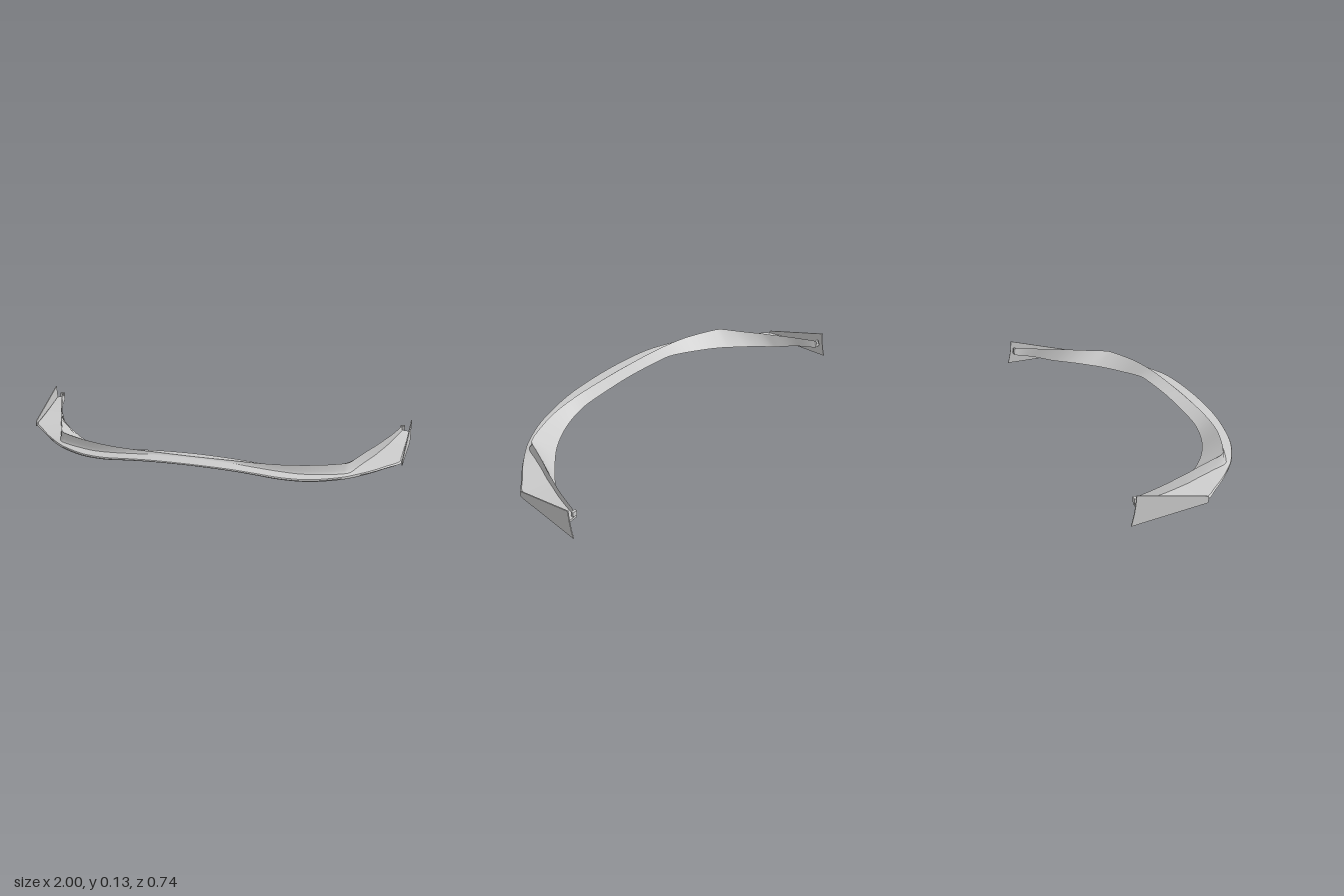
import * as THREE from 'three';

const material = new THREE.MeshStandardMaterial({ color: 0xcccccc, side: THREE.DoubleSide });

// Half-plan stations from the centre to the tip:
// outer x,z | crease x,z | inner x,z | underside y, crease y, ridge y
const STATIONS = [
  [0, 0.367, 0, 0.308, 0, 0.23, 0.078, 0.09, 0.097],
  [0.2, 0.363, 0.2, 0.304, 0.2, 0.228, 0.072, 0.086, 0.097],
  [0.32, 0.357, 0.3, 0.299, 0.33, 0.226, 0.062, 0.077, 0.096],
  [0.43, 0.343, 0.42, 0.287, 0.42, 0.213, 0.047, 0.064, 0.095],
  [0.55, 0.312, 0.52, 0.268, 0.5, 0.187, 0.036, 0.054, 0.095],
  [0.645, 0.268, 0.62, 0.238, 0.58, 0.145, 0.031, 0.05, 0.094],
  [0.72, 0.222, 0.7, 0.207, 0.65, 0.095, 0.029, 0.048, 0.094],
  [0.76, 0.19, 0.735, 0.186, 0.68, 0.068, 0.028, 0.048, 0.094],
  [0.84, 0.12, 0.768, 0.11, 0.75, 0, 0.027, 0.047, 0.095],
  [0.91, 0.047, 0.802, 0.03, 0.8, -0.055, 0.026, 0.047, 0.096],
  [0.967, -0.015, 0.835, -0.04, 0.845, -0.11, 0.026, 0.048, 0.097],
  [0.971, -0.06, 0.856, -0.09, 0.867, -0.147, 0.03, 0.05, 0.097],
  [0.981, -0.2, 0.904, -0.2, 0.913, -0.23, 0.045, 0.06, 0.099],
  [0.991, -0.34, 0.956, -0.34, 0.943, -0.34, 0.062, 0.076, 0.101],
];

// Closed cross-section: lip edge, lip top, upright wall to the ridge, inner slope
function section([ox, oz, cx, cz, ix, iz, low, crease, ridge], side) {
  const mix = (a, b, t) => a + (b - a) * t;
  const lipTop = mix(low, crease, 0.7);
  return [
    [mix(ox, cx, 0.1), low, mix(oz, cz, 0.1)],
    [ox, mix(low, lipTop, 0.55), oz],
    [mix(ox, cx, 0.06), lipTop, mix(oz, cz, 0.06)],
    [cx, crease, cz],
    [mix(cx, ix, 0.07), mix(crease, ridge, 0.3), mix(cz, iz, 0.07)],
    [mix(cx, ix, 0.12), ridge, mix(cz, iz, 0.12)],
    [ix, low + 0.003, iz],
  ].map(([x, y, z]) => new THREE.Vector3(x * side, y, z));
}

// Sweep the section along smooth rails; corners of the section stay sharp
function sweptLip(steps) {
  const sections = [
    ...STATIONS.slice(1).reverse().map((s) => section(s, -1)),
    ...STATIONS.map((s) => section(s, 1)),
  ];
  const rails = sections[0].map((_, k) =>
    new THREE.CatmullRomCurve3(sections.map((s) => s[k])).getPoints(steps));
  const positions = [];
  const index = [];
  // The wall strips share vertices so that its foot looks rounded
  const groups = [[0, 1], [1, 2], [2, 3], [3, 4, 5], [5, 6], [6, 0]];
  for (const group of groups) {
    const base = positions.length / 3;
    const w = group.length;
    for (let i = 0; i <= steps; i++) {
      for (const k of group) positions.push(...rails[k][i].toArray());
    }
    for (let i = 0; i < steps; i++) {
      for (let j = 0; j < w - 1; j++) {
        const a = base + i * w + j;
        index.push(a, a + w, a + w + 1, a, a + w + 1, a + 1);
      }
    }
  }
  // End caps, fanned from the foot of the wall
  for (const i of [0, steps]) {
    const base = positions.length / 3;
    const n = rails.length;
    for (const rail of rails) positions.push(...rail[i].toArray());
    for (let k = 1; k < n - 1; k++) {
      const b = base + ((3 + k) % n);
      const c = base + ((4 + k) % n);
      if (i === 0) index.push(base + 3, c, b);
      else index.push(base + 3, b, c);
    }
  }
  const geometry = new THREE.BufferGeometry();
  geometry.setAttribute('position', new THREE.Float32BufferAttribute(positions, 3));
  geometry.setIndex(index);
  geometry.computeVertexNormals();
  return geometry;
}

// Thin flared plate, drawn in (-z, y), leaning outwards towards the back
function endPlateGeometry() {
  const shape = new THREE.Shape();
  shape.moveTo(0.025, 0.019);
  shape.quadraticCurveTo(0.017, 0.02, 0.017, 0.027);
  shape.lineTo(0.017, 0.045);
  shape.quadraticCurveTo(0.017, 0.05, 0.025, 0.052);
  shape.lineTo(0.347, 0.134);
  shape.quadraticCurveTo(0.351, 0.06, 0.371, 0.001);
  shape.closePath();
  const thickness = 0.005;
  const geometry = new THREE.ExtrudeGeometry(shape, { depth: thickness, bevelEnabled: false, curveSegments: 8 });
  geometry.rotateY(Math.PI / 2);
  const p = geometry.attributes.position;
  for (let i = 0; i < p.count; i++) {
    const t = (-p.getZ(i) - 0.017) / 0.354;
    p.setX(i, p.getX(i) + 0.973 - thickness + 0.027 * t);
  }
  geometry.computeVertexNormals();
  return geometry;
}

export function createModel() {
  const model = new THREE.Group();
  model.name = 'frontSplitter';

  const add = (name, geometry, parent) => {
    const mesh = new THREE.Mesh(geometry, material);
    mesh.name = name;
    parent.add(mesh);
    return mesh;
  };

  add('splitterLip', sweptLip(208), model);

  // Plate and mounting tab at each tip
  const plate = endPlateGeometry();
  for (const side of [1, -1]) {
    const tip = new THREE.Group();
    tip.name = side > 0 ? 'leftTip' : 'rightTip';
    add('endPlate', plate, tip);
    const tab = add('mountingTab', new THREE.BoxGeometry(0.022, 0.024, 0.012), tip);
    tab.position.set(0.955, 0.09, -0.337);
    tip.scale.x = side;
    model.add(tip);
  }
  return model;
}
